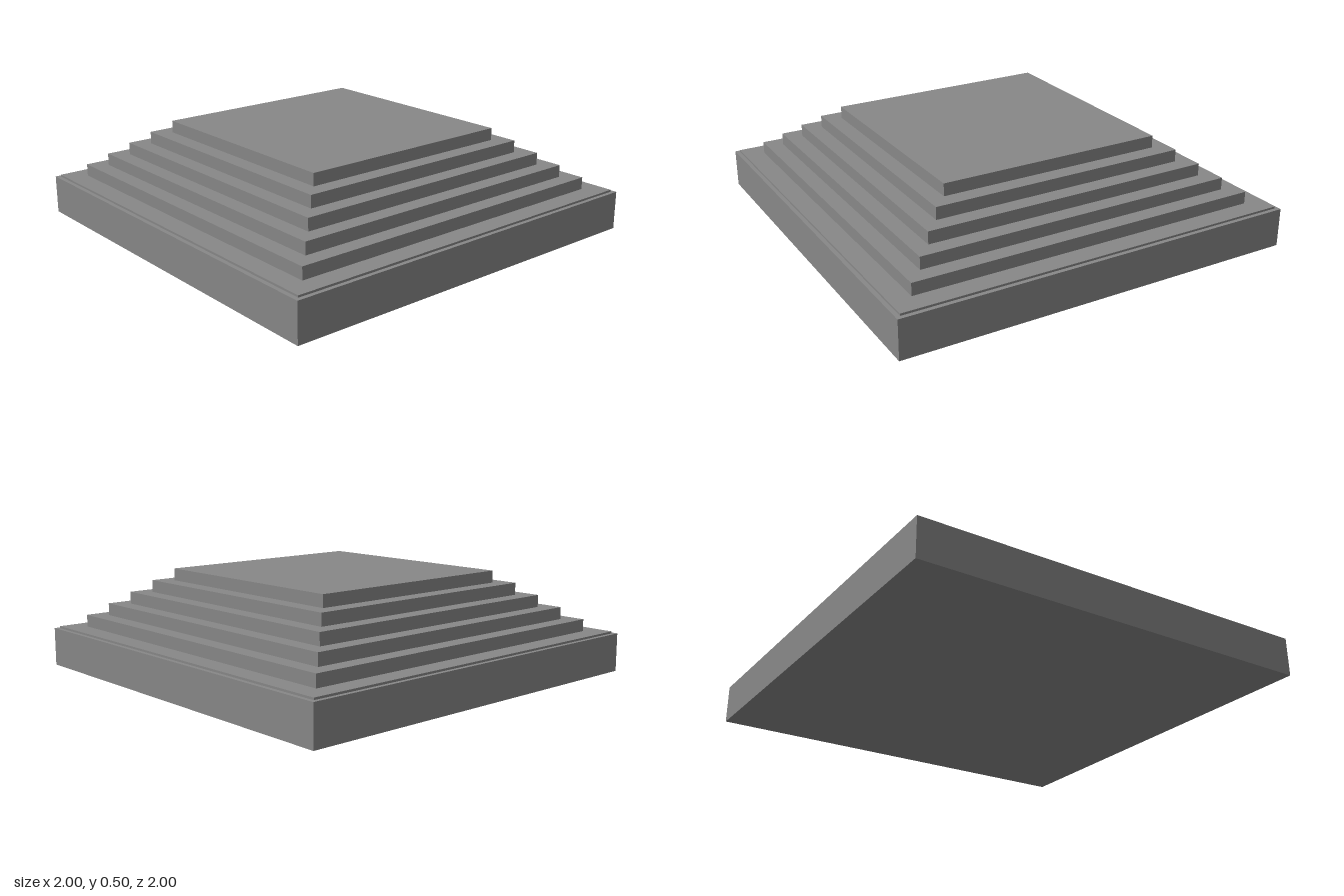
import * as THREE from 'three';

export function createModel() {
  const model = new THREE.Group();
  model.name = 'steppedPlatform';
  const material = new THREE.MeshStandardMaterial({ color: 0x888888 });

  // Adds a square slab centred on the y axis, resting at height bottom
  function addSlab(name, width, bottom, height) {
    const slab = new THREE.Mesh(new THREE.BoxGeometry(width, height, width), material);
    slab.name = name;
    slab.position.y = bottom + height / 2;
    model.add(slab);
  }

  // Thick base with a thin, slightly inset paving layer
  addSlab('base', 2, 0, 0.19);
  addSlab('paving', 1.96, 0.19, 0.01);

  // Five equal steps, each narrower than the one below
  const stepHeight = 0.06;
  for (let i = 0; i < 5; i++) {
    addSlab(`step${i + 1}`, 1.76 - i * 0.16, 0.2 + i * stepHeight, stepHeight);
  }

  return model;
}
